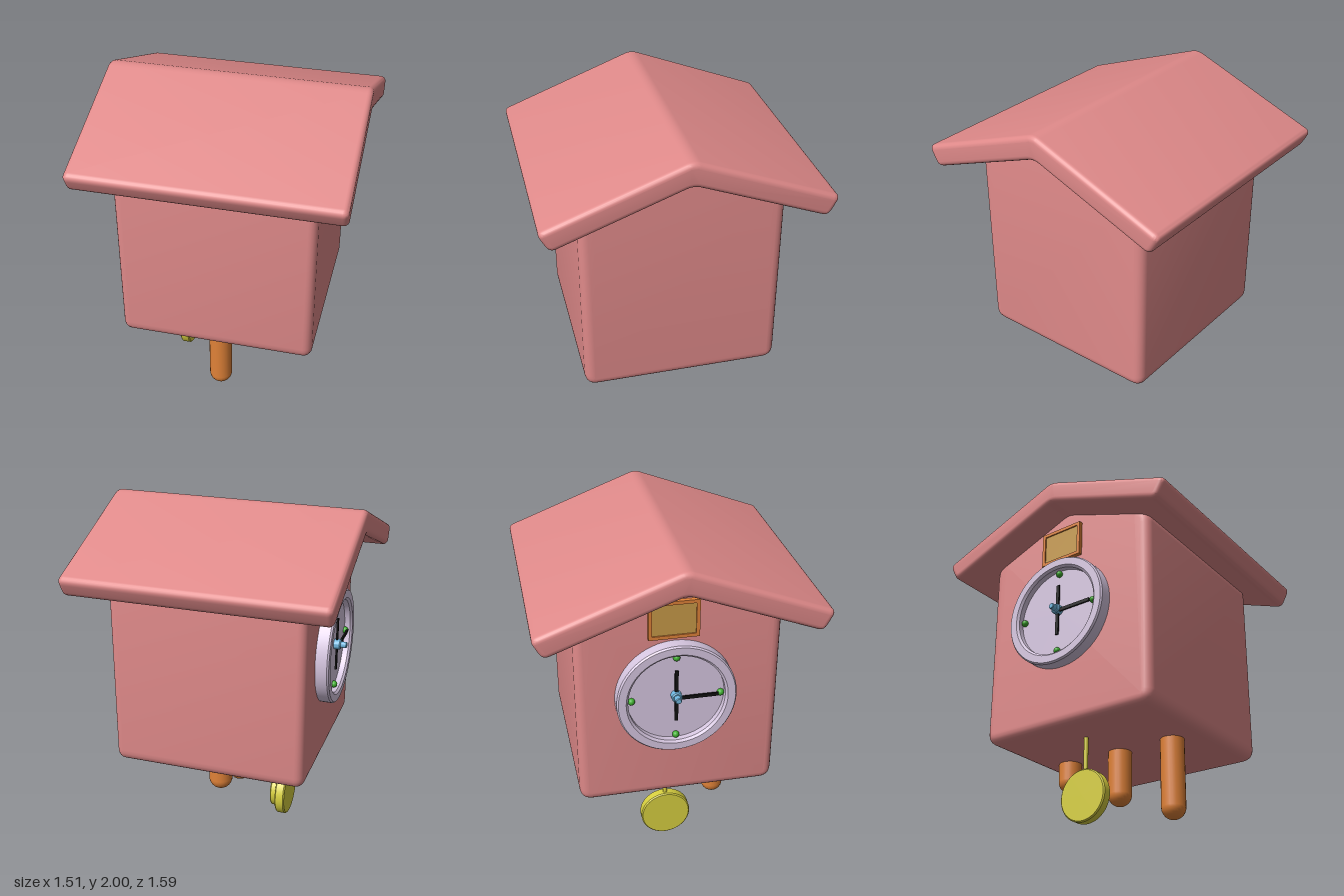
import * as THREE from 'three';
import { toCreasedNormals } from 'three/addons/utils/BufferGeometryUtils.js';

const paint = (color) => new THREE.MeshStandardMaterial({ color });
const pink = paint(0xe08a8a), orange = paint(0xe08238), yellow = paint(0xd8d040);
const lilac = paint(0xd8c8e2), blue = paint(0x70b8e0), green = paint(0x40b030);
const black = paint(0x111111), ochre = paint(0xc89a48);

// Polygon (z, y corners) with each corner rounded by a quadratic curve
function roundedShape(corners, radius) {
  const shape = new THREE.Shape();
  const pts = corners.map(([x, y]) => new THREE.Vector2(x, y));
  pts.forEach((p, i) => {
    const prev = pts[(i + pts.length - 1) % pts.length];
    const next = pts[(i + 1) % pts.length];
    const a = p.clone().add(prev.clone().sub(p).setLength(radius));
    const b = p.clone().add(next.clone().sub(p).setLength(radius));
    if (i === 0) shape.moveTo(a.x, a.y); else shape.lineTo(a.x, a.y);
    shape.quadraticCurveTo(p.x, p.y, b.x, b.y);
  });
  shape.closePath();
  return shape;
}

// Soft-edged prism running along x, centred on x = 0
function prism(corners, length, radius, bevel) {
  const geo = new THREE.ExtrudeGeometry(roundedShape(corners, radius), {
    depth: length - 2 * bevel, curveSegments: 6,
    bevelSize: bevel, bevelThickness: bevel, bevelOffset: -bevel, bevelSegments: 5,
  });
  geo.translate(0, 0, -(length - 2 * bevel) / 2).rotateY(Math.PI / 2);
  return toCreasedNormals(geo, 0.6);
}

// Turned part whose axis points towards -x; profile is [radius, height]
function turned(profile, segments = 48) {
  const pts = profile.map(([r, h]) => new THREE.Vector2(r, h));
  return toCreasedNormals(new THREE.LatheGeometry(pts, segments).rotateZ(Math.PI / 2), 0.5);
}

const disc = (r, h, b) =>
  turned([[0, 0], [r - b, 0], [r, b], [r, h - b], [r - b, h], [0, h]]);

export function createModel() {
  const model = new THREE.Group();
  const add = (name, geo, mat, x = 0, y = 0, z = 0, parent = model) => {
    const mesh = new THREE.Mesh(geo, mat);
    mesh.name = name;
    mesh.position.set(x, y, z);
    parent.add(mesh);
    return mesh;
  };

  // House body with gables facing +x and -x
  add('houseBody', prism(
    [[-0.573, 0.5], [0.573, 0.5], [0.573, 1.69], [0, 1.91], [-0.573, 1.69]],
    1.146, 0.075, 0.05), pink);

  // Pitched roof slab, ridge along x
  add('roof', prism(
    [[0, 1.862], [0.745, 1.58], [0.808, 1.698], [0, 2.004], [-0.808, 1.698], [-0.745, 1.58]],
    1.51, 0.04, 0.03), pink);

  // Three hanging weights of different lengths
  [[0.355, 0.03], [-0.01, 0.17], [-0.38, 0.32]].forEach(([z, bottom]) => {
    const top = 0.62, r = 0.07;
    add('hangingWeight', new THREE.CapsuleGeometry(r, top - bottom - 2 * r, 8, 24),
      orange, -0.022, (top + bottom) / 2, z);
  });

  // Pendulum
  const pendulum = new THREE.Group();
  pendulum.name = 'pendulum';
  pendulum.position.set(-0.33, 0.153, -0.025);
  model.add(pendulum);
  add('pendulumRod', new THREE.CylinderGeometry(0.013, 0.013, 0.45, 16), yellow, 0, 0.225, 0, pendulum);
  add('pendulumBob', disc(0.152, 0.06, 0.007), yellow, 0.03, 0, 0, pendulum);
  add('pendulumBoss', disc(0.11, 0.045, 0.007), yellow, 0.073, 0, 0, pendulum);

  // Clock dial on the -x gable: rim and recessed plate
  const dial = new THREE.Group();
  dial.name = 'clockDial';
  dial.position.set(-0.57, 1.185, -0.025);
  model.add(dial);
  add('dialRim', turned([[0, 0], [0.336, 0], [0.336, 0.07], [0.328, 0.08],
    [0.285, 0.08], [0.272, 0.068], [0.272, 0.035], [0, 0.035]], 64), lilac, 0, 0, 0, dial);

  // Quarter-hour markers
  for (let i = 0; i < 4; i++) {
    const a = i * Math.PI / 2;
    add('hourMarker', new THREE.SphereGeometry(0.02, 16, 12), green,
      -0.043, 0.25 * Math.cos(a), 0.25 * Math.sin(a), dial);
  }

  // Hands and hub
  add('minuteHand', new THREE.BoxGeometry(0.01, 0.32, 0.02), black, -0.05, 0.01, 0, dial);
  add('hourHand', new THREE.BoxGeometry(0.01, 0.02, 0.24), black, -0.058, 0, 0.115, dial);
  add('hubBase', disc(0.03, 0.045, 0.006), blue, -0.03, 0.01, 0, dial);
  add('hubPin', disc(0.018, 0.08, 0.004), blue, -0.03, 0.01, 0, dial);

  // Small door above the dial: frame around a panel
  const door = new THREE.Group();
  door.name = 'birdDoor';
  door.position.set(-0.58, 1.655, -0.035);
  model.add(door);
  add('doorPanel', new THREE.BoxGeometry(0.02, 0.21, 0.26), ochre, 0, 0, 0, door);
  for (const s of [-1, 1]) {
    add('doorRail', new THREE.BoxGeometry(0.036, 0.02, 0.28), orange, 0, s * 0.1, 0, door);
    add('doorStile', new THREE.BoxGeometry(0.036, 0.22, 0.02), orange, 0, 0, s * 0.13, door);
  }
  return model;
}
